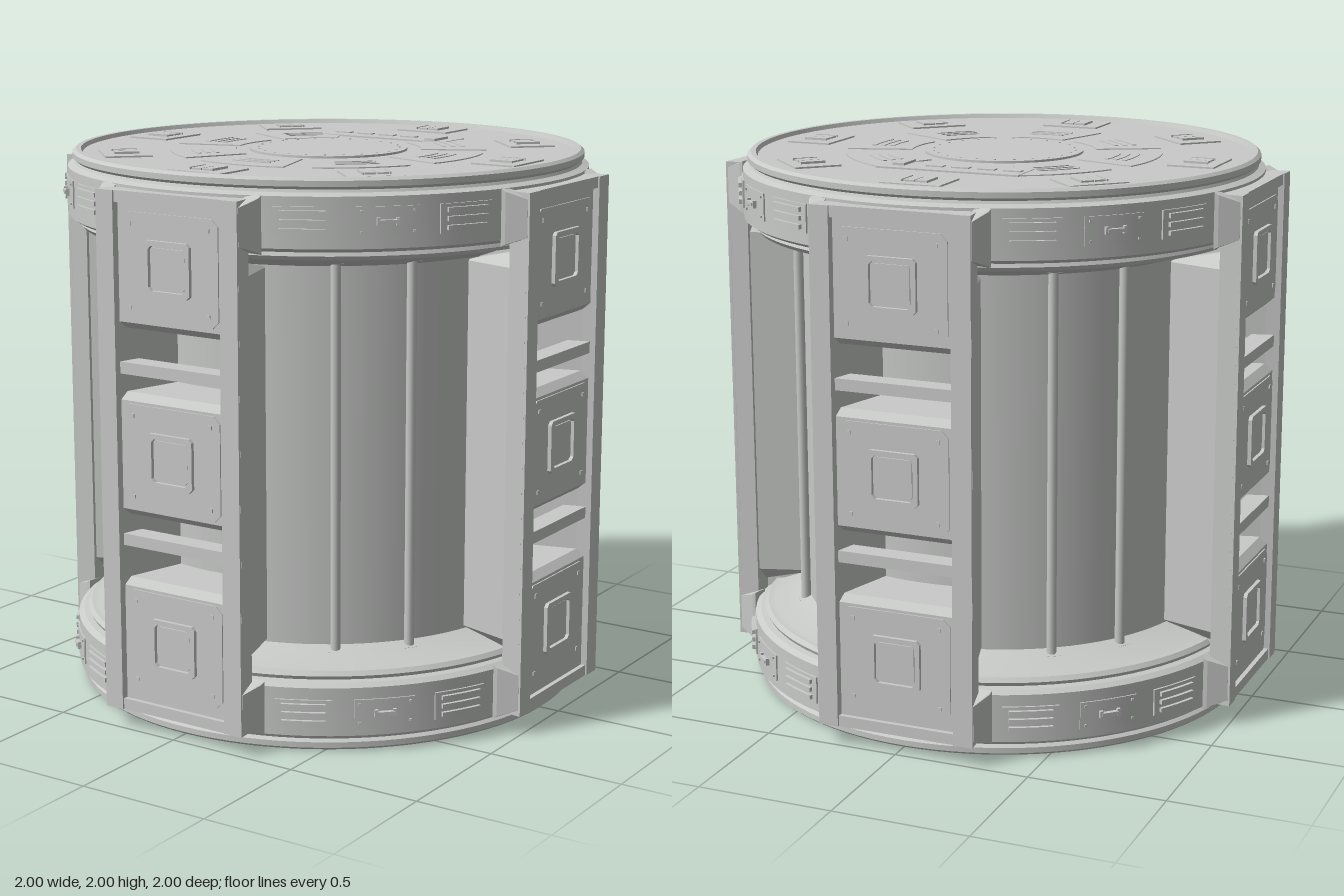
import * as THREE from 'three';
import { toCreasedNormals } from 'three/addons/utils/BufferGeometryUtils.js';
import { ConvexGeometry } from 'three/addons/geometries/ConvexGeometry.js';

const metal = new THREE.MeshStandardMaterial({ color: 0xc8cac8 });
metal.name = 'light grey metal';
const DEG = Math.PI / 180;

function add(parent, name, geo, x = 0, y = 0, z = 0) {
  const mesh = new THREE.Mesh(geo, metal);
  mesh.name = name;
  mesh.position.set(x, y, z);
  parent.add(mesh);
  return mesh;
}
function addGroup(parent, name, angle = 0) {
  const g = new THREE.Group();
  g.name = name;
  g.rotation.y = angle * DEG;
  parent.add(g);
  return g;
}
const box = (w, h, d) => new THREE.BoxGeometry(w, h, d);
const hull = pts => new ConvexGeometry(pts.map(p => new THREE.Vector3(...p)));
const lathe = pts => toCreasedNormals(
  new THREE.LatheGeometry(pts.map(p => new THREE.Vector2(...p)), 96), 0.4);

// Ring sector of height h, rising from y = 0 and centred on +z
function sector(r0, r1, half, h) {
  const mid = -Math.PI / 2, a = half * DEG;
  const s = new THREE.Shape();
  s.absarc(0, 0, r1, mid - a, mid + a, false);
  s.absarc(0, 0, r0, mid + a, mid - a, true);
  return new THREE.ExtrudeGeometry(s, { depth: h, bevelEnabled: false, curveSegments: 10 })
    .rotateX(-Math.PI / 2);
}

// Rectangle with cut corners, optionally hollow, facing +z
function plate(w, h, cut, depth, hole = 0) {
  const outline = (a, b, c) => [[a - c, -b], [a, -b + c], [a, b - c], [a - c, b],
    [-a + c, b], [-a, b - c], [-a, -b + c], [-a + c, -b]].map(p => new THREE.Vector2(...p));
  const s = new THREE.Shape(outline(w / 2, h / 2, cut));
  if (hole) s.holes.push(new THREE.Path(outline(w / 2 - hole, h / 2 - hole, cut)));
  return new THREE.ExtrudeGeometry(s, { depth, bevelEnabled: false });
}

// Details of one end face, drawn upwards from y = 0
function endFace(parent, name, skipBack) {
  const face = addGroup(parent, name);
  add(face, 'hubDisc', new THREE.CylinderGeometry(0.29, 0.29, 0.008, 64), 0, 0.004, 0);
  for (let i = 0; i < 24; i++) {
    const a = i * 15 * DEG;
    add(face, 'hubBolt', new THREE.CylinderGeometry(0.005, 0.005, 0.003, 8),
      0.26 * Math.sin(a), 0.009, 0.26 * Math.cos(a));
  }
  for (let i = 0; i < 8; i++) {
    const spoke = addGroup(face, 'spoke', i * 45);
    add(spoke, 'latchPlate', box(0.22, 0.006, 0.17), 0, 0.003, 0.75);
    for (const sx of [-1, 1]) {
      add(spoke, 'latchTab', box(0.04, 0.006, 0.08), sx * 0.022, 0.009, 0.75);
      add(spoke, 'latchEdge', box(0.005, 0.008, 0.09), sx * 0.047, 0.01, 0.75);
    }
    if (skipBack && i === 4) continue;
    add(spoke, 'coverSegment', sector(0.34, 0.58, 17.5, 0.004));
    for (const r of [0.42, 0.455, 0.49])
      add(spoke, 'coverSlat', sector(r, r + 0.014, 9, 0.003), 0, 0.004, 0);
  }
  return face;
}

// Vents and handle panel between two pillars, on the rim band
function rimDetails(parent, y) {
  for (let q = 0; q < 4; q++) {
    for (const a of [28, 62]) {
      const vent = addGroup(parent, 'rimVent', q * 90 + a);
      add(vent, 'ventBack', sector(0.94, 0.962, 6, 0.1), 0, y - 0.05, 0);
      for (const dy of [-0.03, 0, 0.03])
        add(vent, 'ventSlat', sector(0.955, 0.974, 4.6, 0.016), 0, y + dy - 0.008, 0);
    }
    const panel = addGroup(parent, 'rimPanel', q * 90 + 45);
    add(panel, 'panelPlate', sector(0.94, 0.96, 6.5, 0.1), 0, y - 0.05, 0);
    add(panel, 'panelHandle', box(0.065, 0.012, 0.018), 0, y, 0.967);
    for (const sx of [-1, 1]) {
      add(panel, 'handleEnd', box(0.012, 0.026, 0.014), sx * 0.033, y, 0.965);
      for (const dy of [-0.035, 0.035])
        add(panel, 'panelBolt', box(0.008, 0.008, 0.006), sx * 0.09, y + dy, 0.959);
    }
  }
}

// One pillar, facing +z
function pillar(parent, angle) {
  const p = addGroup(parent, 'pillar', angle);
  for (const s of [-1, 1]) {
    add(p, 'rail', hull([0.07, 1.93].flatMap(y => [[s * 0.222, y, 1], [s * 0.295, y, 1],
      [s * 0.285, y, 0.92], [s * 0.205, y, 0.92]])));
    // radial fin reaching back to the core, with sloped ends
    add(p, 'fin', hull([-1, 1].flatMap(k => [
      [s * 0.145, 1 + k * 0.665, 0.7], [s * 0.205, 1 + k * 0.665, 0.7],
      [s * 0.222, 1 + k * 0.735, 0.99], [s * 0.294, 1 + k * 0.665, 0.99]])));
    for (const y of [0.157, 1.843])
      add(p, 'clamp', hull([-1, 1].flatMap(k => [
        [s * 0.27, y + k * 0.098, 0.9], [s * 0.33, y + k * 0.098, 0.91],
        [s * 0.328, y + k * 0.09, 0.925], [s * 0.295, y + k * 0.065, 0.992],
        [s * 0.27, y + k * 0.065, 0.992]])));
  }
  // panel boxes: bottom, top, height of the square frame
  for (const [y0, y1, yc] of [[0.07, 0.555, 0.335], [0.785, 1.225, 1.005], [1.45, 1.93, 1.675]]) {
    add(p, 'panelBox', hull([
      ...[y0, y1].flatMap(y => [[-0.155, y, 0.72], [0.155, y, 0.72], [-0.215, y, 0.95], [0.215, y, 0.95]]),
      ...[y0 + 0.025, y1 - 0.025].flatMap(y => [[-0.218, y, 0.978], [0.218, y, 0.978]])]));
    add(p, 'panelPlate', plate(0.41, 0.37, 0.025, 0.007), 0, yc, 0.976);
    add(p, 'squareFrame', plate(0.19, 0.19, 0.012, 0.014, 0.018), 0, yc, 0.983);
    add(p, 'squareInset', plate(0.14, 0.14, 0.008, 0.005), 0, yc, 0.983);
    for (const sx of [-1, 1]) for (const sy of [-1, 1])
      add(p, 'panelBolt', box(0.014, 0.014, 0.004), sx * 0.165, yc + sy * 0.145, 0.985);
  }
  for (const y of [0.697, 1.313]) add(p, 'crossbar', box(0.44, 0.042, 0.08), 0, y, 0.94);
  for (const y of [0.09, 1.91]) add(p, 'endBar', box(0.44, 0.04, 0.06), 0, y, 0.965);
}

export function createModel() {
  const model = new THREE.Group();
  model.name = 'canister';

  // Core and the two stepped end rims
  add(model, 'core', new THREE.CylinderGeometry(0.75, 0.75, 1.5, 96, 1, true), 0, 1, 0);
  const rim = [[0, 0.015], [0.9, 0.015], [0.907, 0], [0.925, 0], [0.937, 0.01], [0.937, 0.03],
    [0.925, 0.04], [0.93, 0.05], [0.955, 0.06], [0.955, 0.235], [0.935, 0.248], [0.912, 0.252],
    [0.918, 0.265], [0.905, 0.28], [0.88, 0.28], [0.75, 0.325]];
  add(model, 'bottomRim', lathe(rim));
  add(model, 'topRim', lathe(rim.map(([r, y]) => [r, 2 - y]).reverse()));
  rimDetails(model, 0.143);
  rimDetails(model, 1.857);

  // Pipes along the core
  for (let q = 0; q < 4; q++) for (const a of [35, 55]) {
    const g = addGroup(model, 'pipe', q * 90 + a);
    add(g, 'pipeTube', new THREE.CylinderGeometry(0.018, 0.018, 1.44, 12), 0, 1, 0.768);
    for (const y of [0.295, 1.705]) add(g, 'pipeCollar', box(0.054, 0.03, 0.054), 0, y, 0.768);
  }

  for (let q = 0; q < 4; q++) pillar(model, q * 90);

  // End faces
  const top = endFace(model, 'topFace', true);
  top.position.y = 1.985;
  const bottom = endFace(model, 'bottomFace', false);
  bottom.rotation.x = Math.PI;
  bottom.position.y = 0.015;

  // Control strip on the top
  add(top, 'controlStrip', box(0.54, 0.006, 0.15), 0, 0.003, -0.455);
  for (let i = 0; i < 4; i++)
    add(top, 'controlKey', box(0.065, 0.005, 0.03), -0.222 + i * 0.098, 0.008, -0.455);
  add(top, 'controlLever', box(0.045, 0.009, 0.1), 0.203, 0.01, -0.435);
  return model;
}
